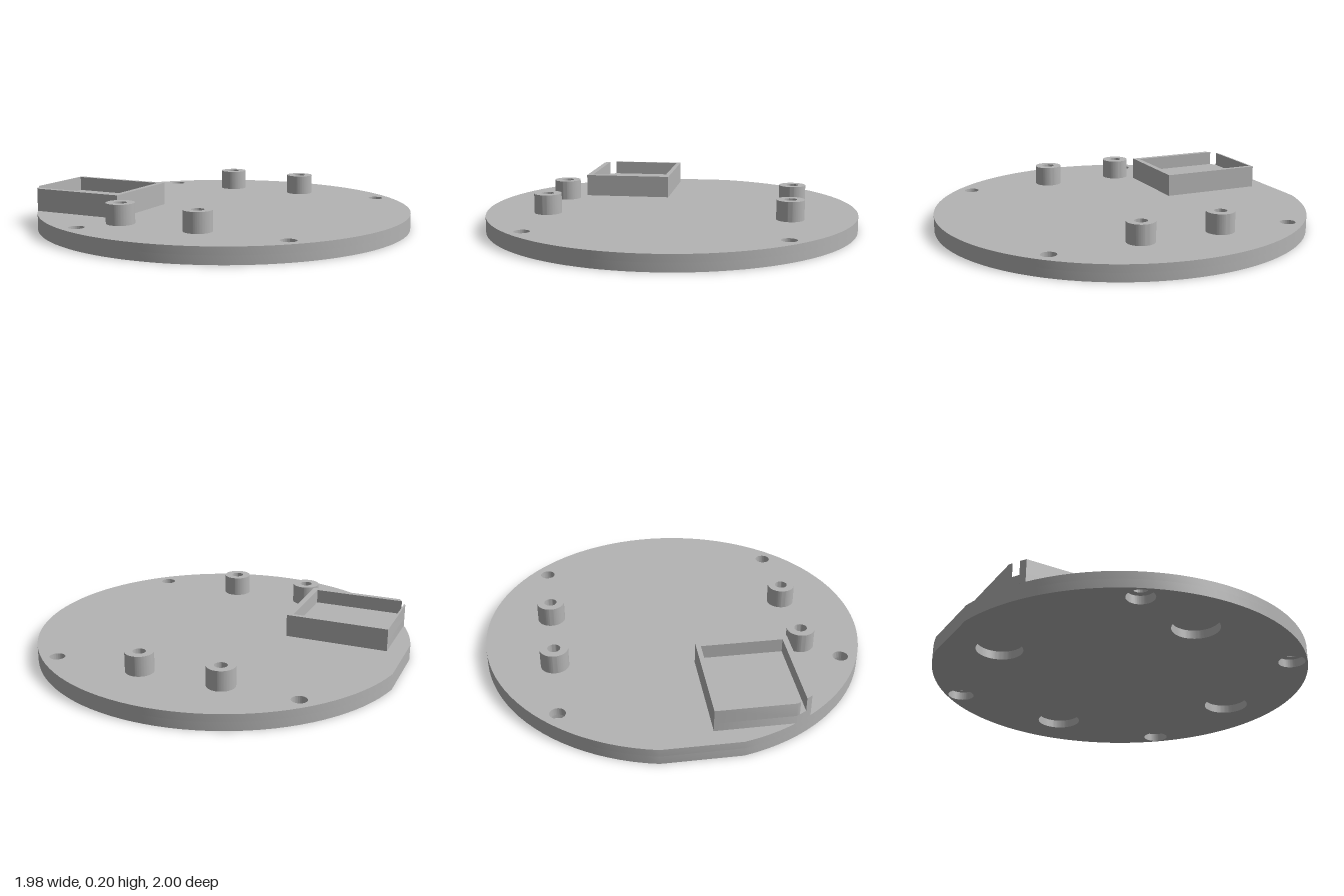
import * as THREE from 'three';
import { toCreasedNormals } from 'three/addons/utils/BufferGeometryUtils.js';

const CX = -0.01; // centre of the disc
const STEP = 0.045, TOP = 0.085; // recess ceiling, plate top

function circle(x, z, r) {
  return new THREE.Path().absarc(x, z, r, 0, Math.PI * 2, true);
}

// Extrudes an (x, z) outline between two heights
function slab(shape, y0, y1) {
  const g = new THREE.ExtrudeGeometry(shape, { depth: y1 - y0, bevelEnabled: false, curveSegments: 48 });
  g.rotateX(Math.PI / 2).translate(0, y1, 0);
  return toCreasedNormals(g, 0.5);
}

// Round outline with one flat on the -x side
function discShape(holes) {
  const a = Math.PI - Math.asin(0.2);
  const s = new THREE.Shape().absarc(CX, 0, 1, -a, a, false);
  s.closePath();
  s.holes.push(...holes);
  return s;
}

// Point angle on the disc rim for a given z, on the -x side
const rimAngle = (z) => Math.PI - Math.asin(z);
const rimX = (z) => CX - Math.sqrt(1 - z * z);
const rimZ = (x) => Math.sqrt(1 - (x - CX) ** 2);

export function createModel() {
  const model = new THREE.Group();
  const grey = new THREE.MeshStandardMaterial({ color: 0xb4b4b4 });
  grey.name = 'grey plastic';
  const add = (name, geometry) => {
    const mesh = new THREE.Mesh(geometry, grey);
    mesh.name = name;
    model.add(mesh);
    return mesh;
  };

  // Plate: lower layer has the recesses, upper layer the screw holes
  const screws = [[-0.66, -0.65], [0.64, -0.65], [0.64, 0.65], [-0.4, 0.83]];
  const pockets = [[CX + 0.71, 0], [CX - 0.71, 0], [CX, 0.71], [CX, -0.71]];
  add('plateLower', slab(discShape([
    ...screws.map(([x, z]) => circle(x, z, 0.07)),
    ...pockets.map(([x, z]) => circle(x, z, 0.12)),
  ]), 0, STEP));
  add('plateUpper', slab(discShape(screws.map(([x, z]) => circle(x, z, 0.04))), STEP, TOP));

  // Four hollow standoffs
  const ring = new THREE.Shape().absarc(0, 0, 0.073, 0, Math.PI * 2, false);
  ring.holes.push(circle(0, 0, 0.033));
  const standoff = slab(ring, TOP, 0.19);
  for (const x of [-0.265, 0.17]) {
    for (const z of [-0.645, 0.645]) add('standoff', standoff).position.set(x, 0, z);
  }

  // Tray floor, trimmed by the disc rim
  const [x0, x1, z0, z1] = [-0.895, -0.345, 0.07, 0.55];
  const [ix0, ix1, iz0, iz1] = [-0.885, -0.375, 0.095, 0.52];
  const floor = new THREE.Shape();
  floor.moveTo(rimX(z1), z1);
  floor.lineTo(x1, z1);
  floor.lineTo(x1, z0);
  floor.lineTo(x0, z0);
  floor.lineTo(x0, rimZ(x0));
  floor.absarc(CX, 0, 1, rimAngle(rimZ(x0)), rimAngle(z1), true);
  add('trayFloor', slab(floor, TOP, 0.13));

  // Tray walls, open where the rim cuts the corner
  const walls = new THREE.Shape();
  walls.moveTo(rimX(z1), z1);
  walls.lineTo(x1, z1);
  walls.lineTo(x1, z0);
  walls.lineTo(x0, z0);
  walls.lineTo(x0, rimZ(x0));
  walls.lineTo(ix0, rimZ(ix0));
  walls.lineTo(ix0, iz0);
  walls.lineTo(ix1, iz0);
  walls.lineTo(ix1, iz1);
  walls.lineTo(rimX(iz1), iz1);
  walls.closePath();
  add('trayWalls', slab(walls, 0.13, 0.205));

  return model;
}
